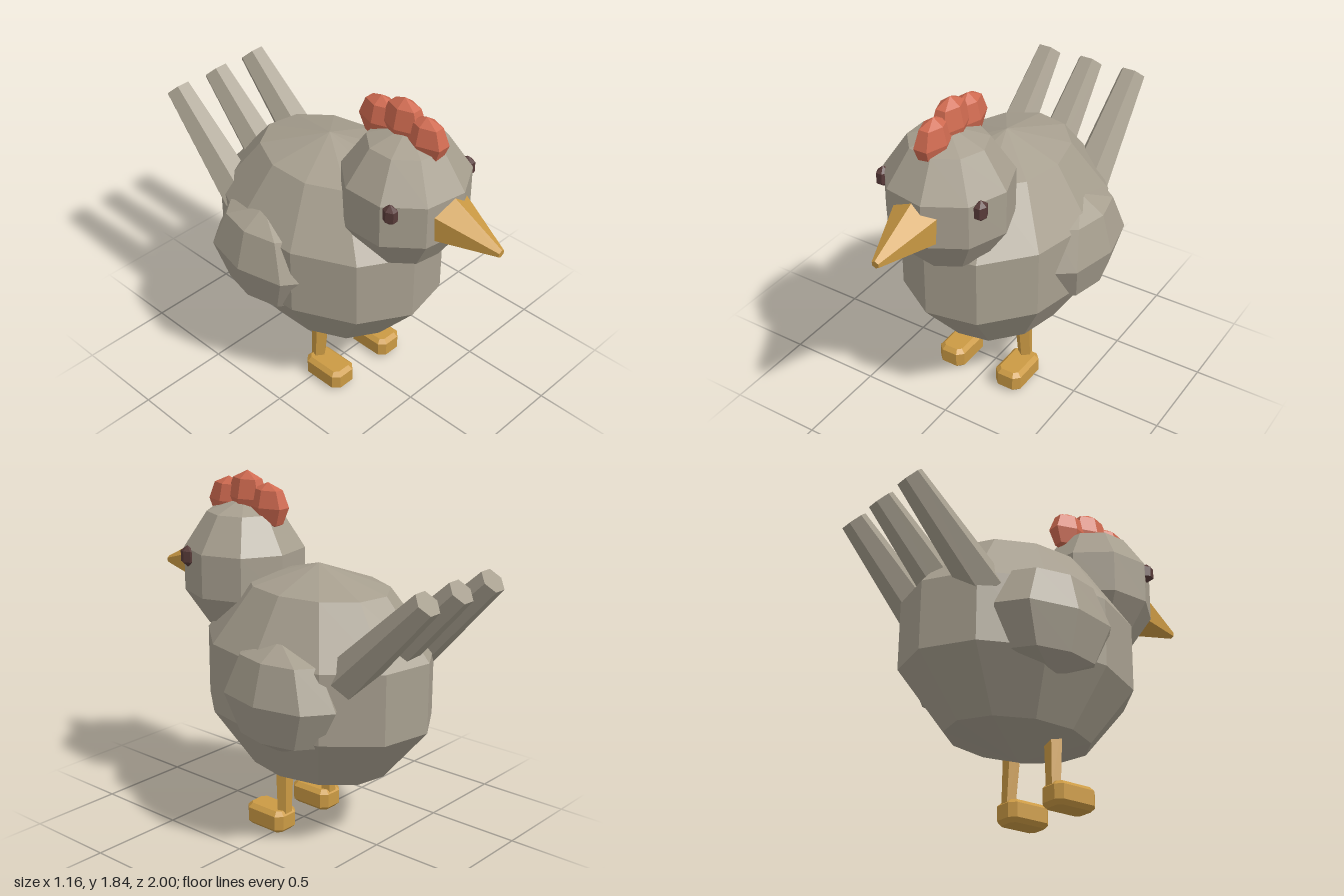
import * as THREE from 'three';

const makeMaterial = (name, color) => {
  const m = new THREE.MeshStandardMaterial({ color, flatShading: true });
  m.name = name;
  return m;
};

// Chamfered block lying flat, centred on the origin
function chamferedBlock(width, height, depth, cut, bevel) {
  const x = width / 2 - bevel;
  const z = depth / 2 - bevel;
  const corners = [
    [x, -z + cut], [x, z - cut], [x - cut, z], [-x + cut, z],
    [-x, z - cut], [-x, -z + cut], [-x + cut, -z], [x - cut, -z],
  ];
  const shape = new THREE.Shape(corners.map(([a, b]) => new THREE.Vector2(a, b)));
  const geometry = new THREE.ExtrudeGeometry(shape, {
    depth: height - 2 * bevel, bevelEnabled: true,
    bevelThickness: bevel, bevelSize: bevel, bevelSegments: 1,
  });
  return geometry.rotateX(-Math.PI / 2).center();
}

export function createModel() {
  const group = new THREE.Group();
  group.name = 'hen';

  const feathers = makeMaterial('warm grey feathers', 0xa79f8f);
  const horn = makeMaterial('ochre horn', 0xcb9a44);
  const red = makeMaterial('comb red', 0xcf6a50);
  const dark = makeMaterial('dark eye', 0x573a38);

  const add = (name, geometry, material) => {
    const mesh = new THREE.Mesh(geometry, material);
    mesh.name = name;
    group.add(mesh);
    return mesh;
  };

  // Faceted ellipsoid, with one column of vertices on its +x side
  const ball = (name, material, center, radii, columns, rows) => {
    const geometry = new THREE.SphereGeometry(1, columns, rows);
    geometry.rotateY(Math.PI).scale(...radii);
    const mesh = add(name, geometry, material);
    mesh.position.set(...center);
  };

  // Tapered prism between two points
  const prism = (name, material, from, to, r0, r1, sides, turn = 0) => {
    const a = new THREE.Vector3(...from);
    const b = new THREE.Vector3(...to);
    const dir = b.clone().sub(a);
    const geometry = new THREE.CylinderGeometry(r1, r0, dir.length(), sides, 1, false, turn);
    const mesh = add(name, geometry, material);
    mesh.position.copy(a).add(b).multiplyScalar(0.5);
    mesh.quaternion.setFromUnitVectors(new THREE.Vector3(0, 1, 0), dir.normalize());
  };

  // Body and head
  ball('body', feathers, [0, 0.845, -0.1], [0.51, 0.588, 0.685], 11, 5);
  ball('head', feathers, [0, 1.33, 0.41], [0.338, 0.37, 0.335], 9, 5);

  // Comb: three lobes, the middle one tallest
  ball('combFront', red, [0, 1.67, 0.522], [0.073, 0.124, 0.128], 6, 4);
  ball('combMiddle', red, [0, 1.7, 0.387], [0.075, 0.14, 0.128], 6, 4);
  ball('combBack', red, [0, 1.67, 0.243], [0.073, 0.124, 0.128], 6, 4);

  // Beak, drooping slightly
  prism('beak', horn, [0, 1.314, 0.63], [0, 1.267, 0.998], 0.157, 0.021, 6);

  // Tail feathers
  for (const [name, x] of [['tailRight', -0.26], ['tailMiddle', 0], ['tailLeft', 0.26]]) {
    prism(name, feathers, [x, 0.97, -0.49], [x, 1.438, -0.957], 0.112, 0.071, 6, Math.PI / 2);
  }

  // Mirrored parts
  for (const [side, s] of [['Left', 1], ['Right', -1]]) {
    ball('wing' + side, feathers, [s * 0.385, 0.845, -0.185], [0.195, 0.29, 0.355], 8, 4);
    ball('eye' + side, dark, [s * 0.276, 1.409, 0.558], [0.036, 0.057, 0.047], 6, 3);
    prism('leg' + side, horn, [s * 0.179, 0.09, -0.02], [s * 0.165, 0.42, -0.008], 0.039, 0.051, 5);
    const foot = add('foot' + side, chamferedBlock(0.157, 0.12, 0.252, 0.02, 0.022), horn);
    foot.position.set(s * 0.182, 0.06, 0.068);
  }

  return group;
}
